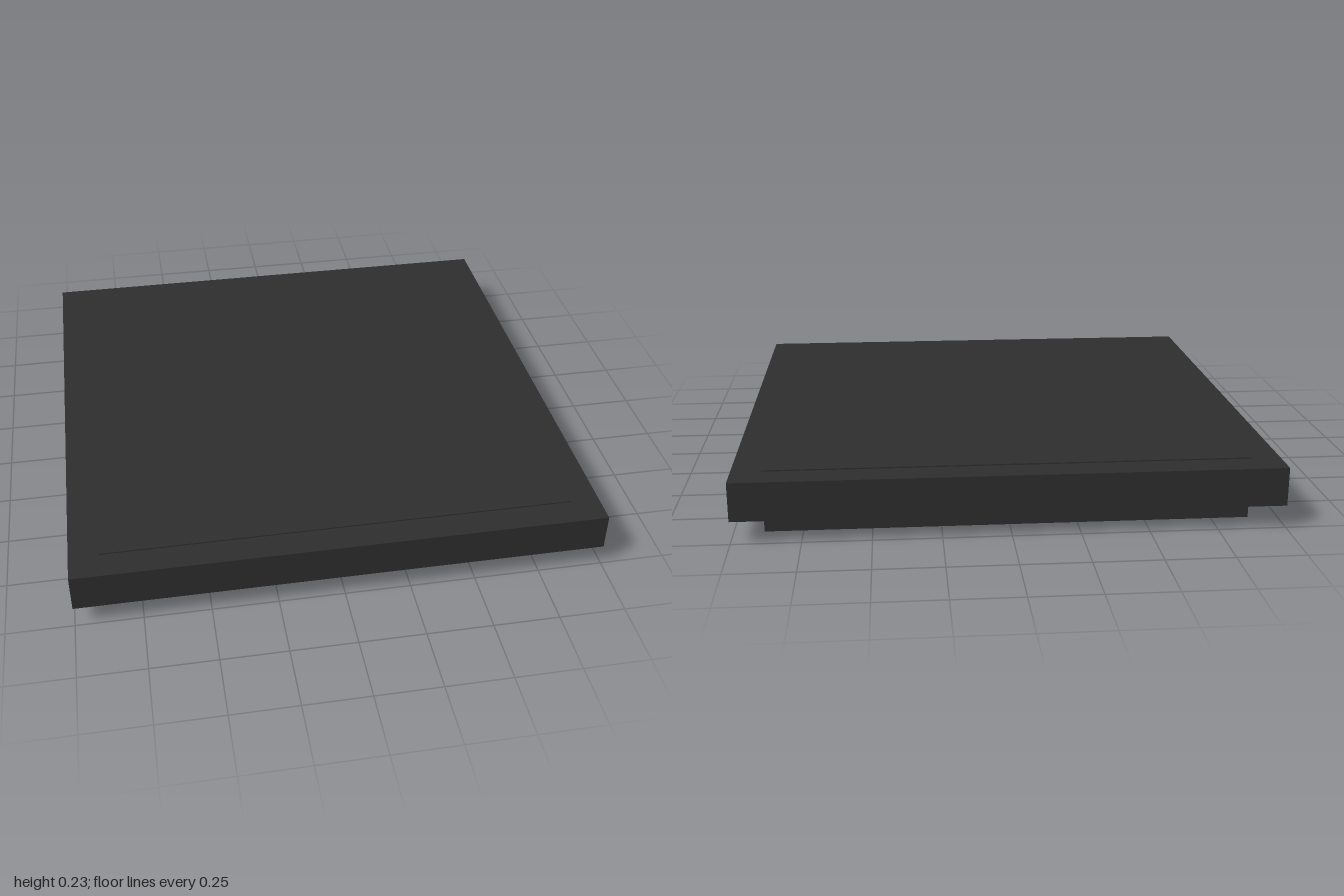
import * as THREE from 'three';

const charcoal = new THREE.MeshStandardMaterial({ color: 0x2d2d2d });
charcoal.name = 'charcoal';

function square(PathType, half) {
  const p = new PathType();
  p.moveTo(-half, -half);
  p.lineTo(half, -half);
  p.lineTo(half, half);
  p.lineTo(-half, half);
  p.closePath();
  return p;
}

export function createModel() {
  const group = new THREE.Group();
  group.name = 'squareTile';

  const add = (name, geometry) => {
    const mesh = new THREE.Mesh(geometry, charcoal);
    mesh.name = name;
    group.add(mesh);
  };

  // Square slab
  add('slab', new THREE.BoxGeometry(2, 0.145, 2).translate(0, 0.1575, 0));

  // Very slightly raised panel on top
  add('topPanel', new THREE.BoxGeometry(1.78, 0.006, 1.78).translate(0, 0.232, 0));

  // Hollow square foot under the slab
  const ring = square(THREE.Shape, 0.89);
  ring.holes.push(square(THREE.Path, 0.74));
  const foot = new THREE.ExtrudeGeometry(ring, { depth: 0.085, bevelEnabled: false });
  foot.rotateX(-Math.PI / 2);
  add('footFrame', foot);

  return group;
}
